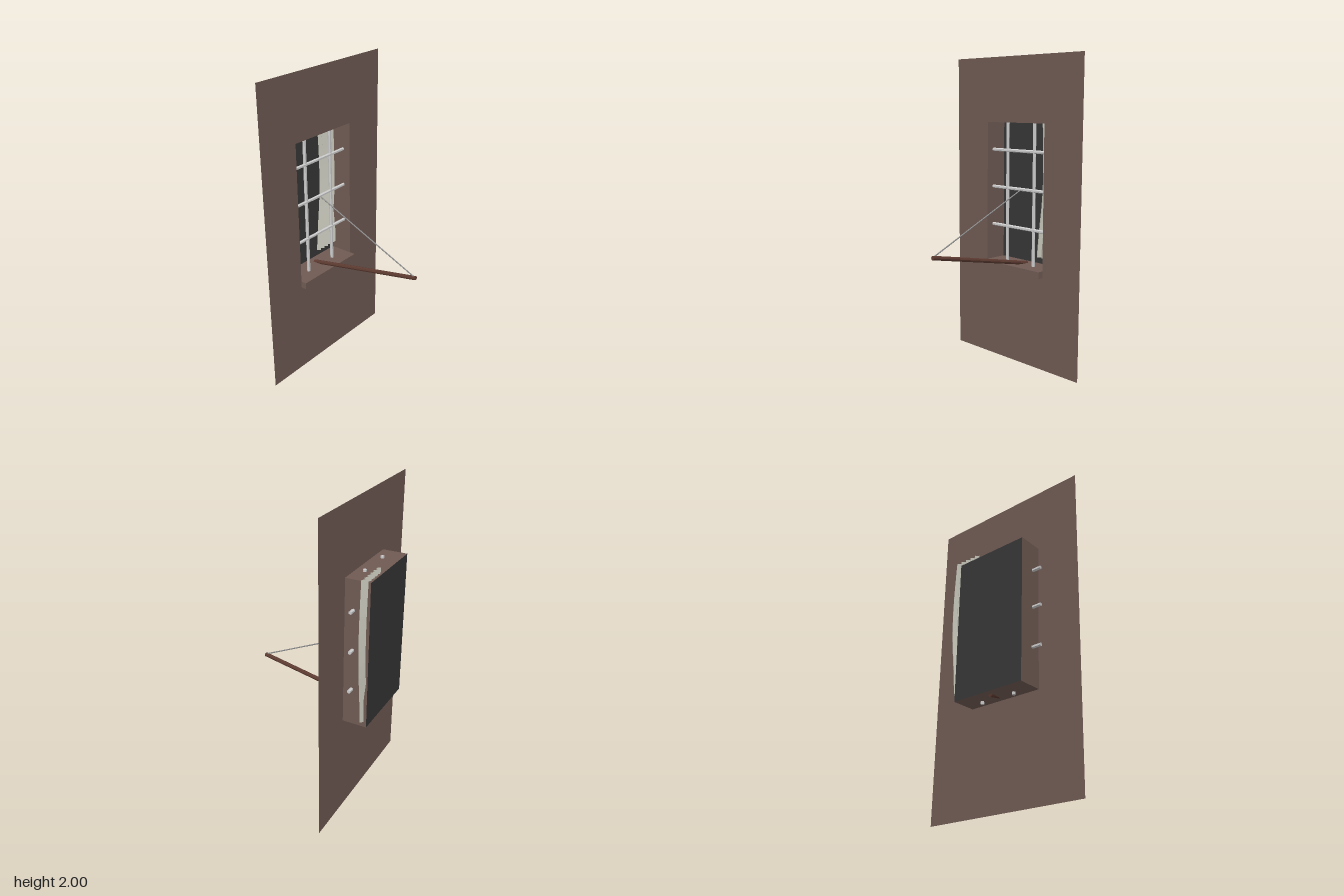
import * as THREE from 'three';

const mat = (color) => new THREE.MeshStandardMaterial({ color, side: THREE.DoubleSide, flatShading: true });

export function createModel() {
  const group = new THREE.Group();
  const wallMat = mat(0x6f5a53), dark = mat(0x363636), metal = mat(0xcccccc);
  const cloth = mat(0xc4c4b8), wood = mat(0x5c3a30), cordMat = mat(0x8c8c8c);

  // Window recess limits
  const front = -0.275, back = -0.43, y0 = 0.655, y1 = 1.583, z0 = -0.244, z1 = 0.256;
  const depth = front - back, height = y1 - y0, width = z1 - z0;
  const midX = (front + back) / 2, midY = (y0 + y1) / 2, midZ = (z0 + z1) / 2;

  const add = (name, geometry, material) => {
    const mesh = new THREE.Mesh(geometry, material);
    mesh.name = name;
    group.add(mesh);
    return mesh;
  };
  // Round rod between two points
  const rod = (name, a, b, radius, sides, material) => {
    const from = new THREE.Vector3(...a), to = new THREE.Vector3(...b);
    const dir = to.clone().sub(from);
    const mesh = add(name, new THREE.CylinderGeometry(radius, radius, dir.length(), sides), material);
    mesh.position.copy(from).add(to).multiplyScalar(0.5);
    mesh.quaternion.setFromUnitVectors(new THREE.Vector3(0, 1, 0), dir.normalize());
    return mesh;
  };

  // Flat wall with the window opening; shape x runs along -z
  const rect = (path, a, b, c, d) => path.moveTo(a, b).lineTo(c, b).lineTo(c, d).lineTo(a, d).closePath();
  const shape = rect(new THREE.Shape(), -0.543, 0, 0.543, 2);
  shape.holes.push(rect(new THREE.Path(), -z1, y0, -z0, y1));
  add('wall', new THREE.ShapeGeometry(shape).rotateY(Math.PI / 2).translate(front, 0, 0), wallMat);

  // Recess sides, top and bottom
  for (const z of [z0, z1])
    add('recessSide', new THREE.PlaneGeometry(depth, height).translate(midX, midY, z), wallMat);
  for (const y of [y0, y1])
    add('recessLedge', new THREE.PlaneGeometry(depth, width).rotateX(-Math.PI / 2).translate(midX, y, midZ), wallMat);

  // Dark pane closing the recess
  add('darkPane', new THREE.PlaneGeometry(width, height).rotateY(Math.PI / 2).translate(back, midY, midZ), dark);

  // Projecting sill
  add('sill', new THREE.BoxGeometry(0.038, 0.044, width).translate(front + 0.019, y0 - 0.022, midZ), wallMat);

  // Window bars, running on into the wall
  for (const y of [0.894, 1.151, 1.4])
    rod('horizontalBar', [-0.329, y, -0.283], [-0.329, y, 0.315], 0.011, 6, metal);
  for (const z of [-0.114, 0.122])
    rod('verticalBar', [-0.331, 0.638, z], [-0.331, 1.597, z], 0.011, 6, metal);

  // Pleated curtain, drifting sideways toward its hem
  const drift = new THREE.SplineCurve([[0.7, 0.034], [0.9, 0.015], [1.1, -0.007], [1.35, -0.012], [1.62, 0]]
    .map(([y, z]) => new THREE.Vector2(y, z)));
  const folds = 11, rows = 10;
  const curtain = new THREE.PlaneGeometry(1, 1, folds, rows);
  const pos = curtain.attributes.position;
  for (let i = 0; i < pos.count; i++) {
    const column = i % (folds + 1), row = Math.floor(i / (folds + 1));
    const p = drift.getPoint(1 - row / rows);
    pos.setXYZ(i, column % 2 ? -0.403 : -0.42, p.x, -0.098 - 0.0193 * column + p.y);
  }
  curtain.computeVertexNormals();
  add('curtain', curtain, cloth);

  // Slanted pole held by a cord tied to the middle bar
  rod('pole', [-0.388, 0.652, -0.004], [0.422, 0.811, -0.004], 0.0135, 8, wood);
  rod('cord', [-0.33, 1.151, -0.003], [0.41, 0.817, -0.003], 0.004, 6, cordMat);

  return group;
}
